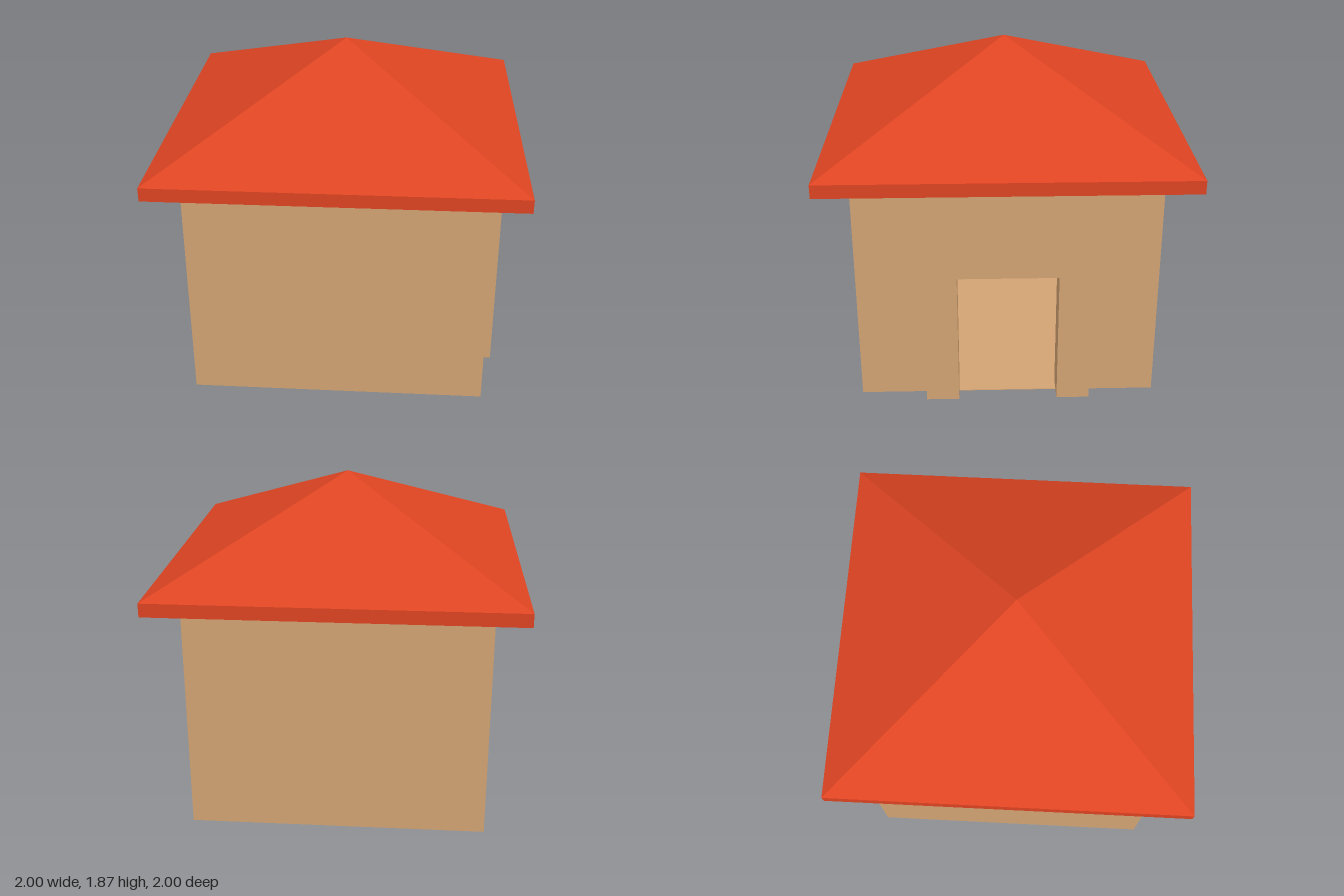
import * as THREE from 'three';

const WALL = 0.828;      // outer half-width of the house
const INNER = 0.745;     // inner half-width
const PORCH = 0.905;     // front of the door surround
const SURROUND = 0.458;  // half-width of the door surround
const DOOR = 0.276;      // half-width of the doorway
const DOOR_TOP = 0.78;
const EAVES = 1.31;
const RIM_TOP = 1.385;
const APEX = 1.865;
const FLOOR = 0.004;

export function createModel() {
  const house = new THREE.Group();
  house.name = 'house';
  const plaster = new THREE.MeshStandardMaterial({ color: 0xd2a373, flatShading: true });
  const tile = new THREE.MeshStandardMaterial({ color: 0xdd4422, flatShading: true });

  const add = (name, geometry, material) => {
    const mesh = new THREE.Mesh(geometry, material);
    mesh.name = name;
    house.add(mesh);
    return mesh;
  };
  // box given by its limits, centred on z = 0
  const block = (name, x0, x1, y0, y1, halfZ, material) =>
    add(name, new THREE.BoxGeometry(x1 - x0, y1 - y0, halfZ * 2), material)
      .position.set((x0 + x1) / 2, (y0 + y1) / 2, 0);

  // walls and door posts: one C-shaped footprint, open at the doorway
  const half = [
    [PORCH, DOOR], [PORCH, SURROUND], [WALL, SURROUND], [WALL, WALL], [-WALL, WALL],
  ];
  const inside = [[-INNER, INNER], [INNER, INNER], [INNER, DOOR]];
  const mirror = (points) => points.map(([x, z]) => [x, -z]).reverse();
  const footprint = [...half, ...mirror(half), ...mirror(inside), ...inside];
  const walls = new THREE.ExtrudeGeometry(
    new THREE.Shape(footprint.map(([x, z]) => new THREE.Vector2(x, z))),
    { depth: EAVES, bevelEnabled: false },
  );
  walls.rotateX(-Math.PI / 2);
  add('walls', walls, plaster);

  // wall above the doorway, floor and door sill
  block('lintel', INNER, PORCH, DOOR_TOP, EAVES, DOOR, plaster);
  block('floor', -INNER, INNER, 0, FLOOR, INNER, plaster);
  block('doorSill', INNER, WALL, 0, FLOOR, DOOR, plaster);

  // hipped roof on a square rim
  block('roofRim', -1, 1, EAVES, RIM_TOP, 1, tile);
  const pyramid = new THREE.ConeGeometry(Math.SQRT2, APEX - RIM_TOP, 4, 1, true);
  pyramid.rotateY(Math.PI / 4);
  add('roof', pyramid, tile).position.y = (RIM_TOP + APEX) / 2;

  return house;
}
